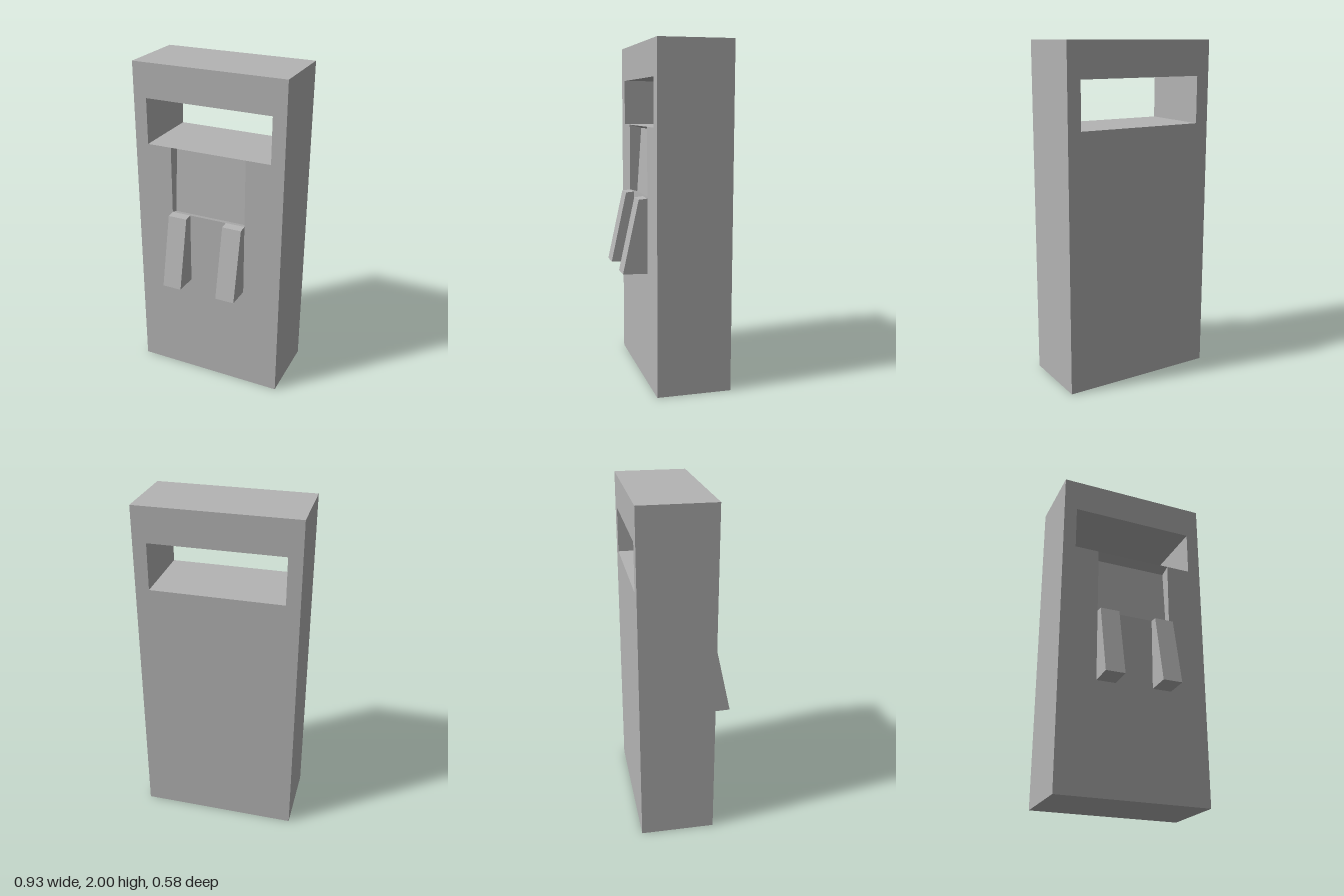
import * as THREE from 'three';
import { mergeGeometries } from 'three/addons/utils/BufferGeometryUtils.js';

const FRONT = 0.146, BACK = -0.292;

// Counter-clockwise rectangle seen from the front; z may differ at bottom and top
const rect = (hw, y0, y1, z0, z1 = z0) =>
  [[-hw, y0, z0], [hw, y0, z0], [hw, y1, z1], [-hw, y1, z1]].map(p => new THREE.Vector3(...p));

const fromPoints = pts => {
  const g = new THREE.BufferGeometry().setFromPoints(pts);
  g.computeVertexNormals();
  return g;
};

// Flat walls joining a front loop to a back loop; inward turns them to face a cavity
function walls(front, back, inward = false) {
  const pts = [];
  front.forEach((a, i) => {
    const j = (i + 1) % front.length;
    const [b, c, d] = [back[i], back[j], front[j]];
    pts.push(...(inward ? [a, c, b, a, d, c] : [a, b, c, a, c, d]));
  });
  return fromPoints(pts);
}

// Flat panel with one opening
function panel(outline, opening) {
  const shape = new THREE.Shape(outline.map(p => new THREE.Vector2(p.x, p.y)));
  shape.holes.push(new THREE.Path(opening.map(p => new THREE.Vector2(p.x, p.y))));
  const g = new THREE.ShapeGeometry(shape).toNonIndexed();
  g.deleteAttribute('uv');
  return g;
}

function bodyGeometry() {
  const outer = z => rect(0.465, 0, 2, z);
  const slot = z => rect(0.385, 1.52, 1.795, z);
  const recess = rect(0.235, 1.11, 1.52, FRONT);
  const recessBack = rect(0.235, 1.097, 1.5, 0.1, 0.072);
  const [a, b, c, d] = recessBack;
  const s = slot(FRONT);
  // The slot and the recess share one T-shaped opening in the front
  const opening = [s[0], recess[3], recess[0], recess[1], recess[2], s[1], s[2], s[3]];
  return mergeGeometries([
    panel(outer(0), opening).translate(0, 0, FRONT),
    panel(outer(0), slot(0)).rotateY(Math.PI).translate(0, 0, BACK),
    walls(outer(FRONT), outer(BACK)),
    walls(slot(FRONT), slot(BACK), true),
    walls(recess, recessBack, true),
    fromPoints([a, b, c, a, c, d]),
  ]);
}

// Wedge seen from the side, extruded across its width
function legGeometry(width) {
  const profile = [[FRONT, 0.667], [0.292, 0.672], [0.197, 1.105], [FRONT, 1.11]];
  const shape = new THREE.Shape(profile.map(p => new THREE.Vector2(...p)));
  return new THREE.ExtrudeGeometry(shape, { depth: width, bevelEnabled: false })
    .rotateY(-Math.PI / 2)
    .translate(width / 2, 0, 0);
}

export function createModel() {
  const model = new THREE.Group();
  model.name = 'slottedBlock';
  const grey = new THREE.MeshStandardMaterial({ color: 0xb4b4b4 });
  grey.name = 'grey';

  // Block with a through slot and a sloping recess
  const body = new THREE.Mesh(bodyGeometry(), grey);
  body.name = 'body';
  model.add(body);

  // Pair of wedge legs on the front
  const legs = legGeometry(0.118);
  for (const [name, side] of [['leftLeg', 1], ['rightLeg', -1]]) {
    const leg = new THREE.Mesh(legs, grey);
    leg.name = name;
    leg.position.x = side * 0.176;
    model.add(leg);
  }
  return model;
}
